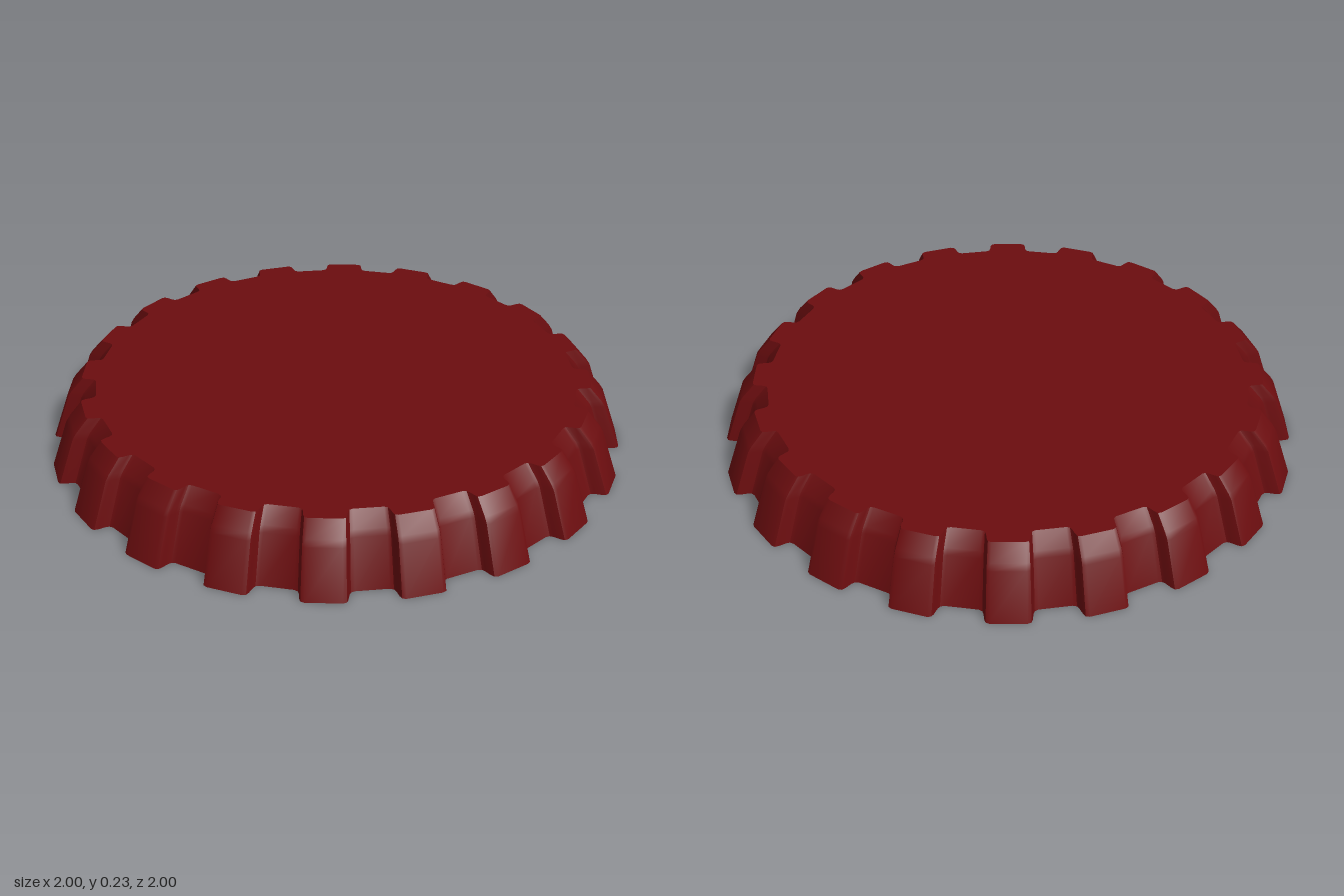
import * as THREE from 'three';
import { toCreasedNormals } from 'three/addons/utils/BufferGeometryUtils.js';

const TEETH = 20;
const PHASE = -4.5; // degrees, first tooth's centre

// One crimp: degrees from the tooth centre, and height from valley (0) to tooth (1)
const half = [[-5.7, 0], [-4.95, 0.1], [-4.65, 0.3], [-4.4, 0.7], [-4.1, 0.92], [-3.4, 1]];
const crimp = [...half, ...half.map(([a, f]) => [-a, f]).reverse()];

// Full outline: angle in radians and crimp height
const outline = [];
for (let t = 0; t < TEETH; t++) {
  for (const [a, f] of crimp) {
    outline.push([THREE.MathUtils.degToRad(PHASE + t * 360 / TEETH + a), f]);
  }
}

// Surface through rings given as [y, valley radius, tooth radius]
function loft(name, rings, material, crease) {
  const n = outline.length, pos = [], index = [];
  for (const [y, valley, tooth] of rings) {
    for (const [a, f] of outline) {
      const r = valley + (tooth - valley) * f;
      pos.push(r * Math.cos(a), y, r * Math.sin(a));
    }
  }
  for (let j = 0; j < rings.length - 1; j++) {
    for (let i = 0; i < n; i++) {
      const k = (i + 1) % n;
      const a = j * n + i, b = j * n + k, c = a + n, d = b + n;
      if (rings[j][1] > 0) index.push(a, c, b);
      if (rings[j + 1][1] > 0) index.push(b, c, d);
    }
  }
  const geo = new THREE.BufferGeometry();
  geo.setAttribute('position', new THREE.Float32BufferAttribute(pos, 3));
  geo.setIndex(index);
  const mesh = new THREE.Mesh(toCreasedNormals(geo, crease), material);
  mesh.name = name;
  return mesh;
}

export function createModel() {
  const group = new THREE.Group();
  group.name = 'bottleCap';
  const red = new THREE.MeshStandardMaterial({ color: 0x6b0d0f });

  // Flared, crimped outer wall with a bevelled shoulder
  group.add(loft('crimpedSkirt', [
    [0, 0.94, 1], [0.165, 0.887, 0.943], [0.185, 0.876, 0.93], [0.235, 0.835, 0.887],
  ], red, 0.6));

  // Flat top
  group.add(loft('topDisc', [[0.235, 0.835, 0.887], [0.235, 0, 0]], red, 0.6));

  // Flat underside of the skirt
  group.add(loft('bottomRim', [[0, 0.905, 0.905], [0, 0.94, 1]], red, 0.6));

  // Hollow inside: ceiling and sloping wall
  group.add(loft('innerCavity', [[0.17, 0, 0], [0.17, 0.837, 0.837], [0, 0.905, 0.905]], red, 0.6));

  return group;
}
